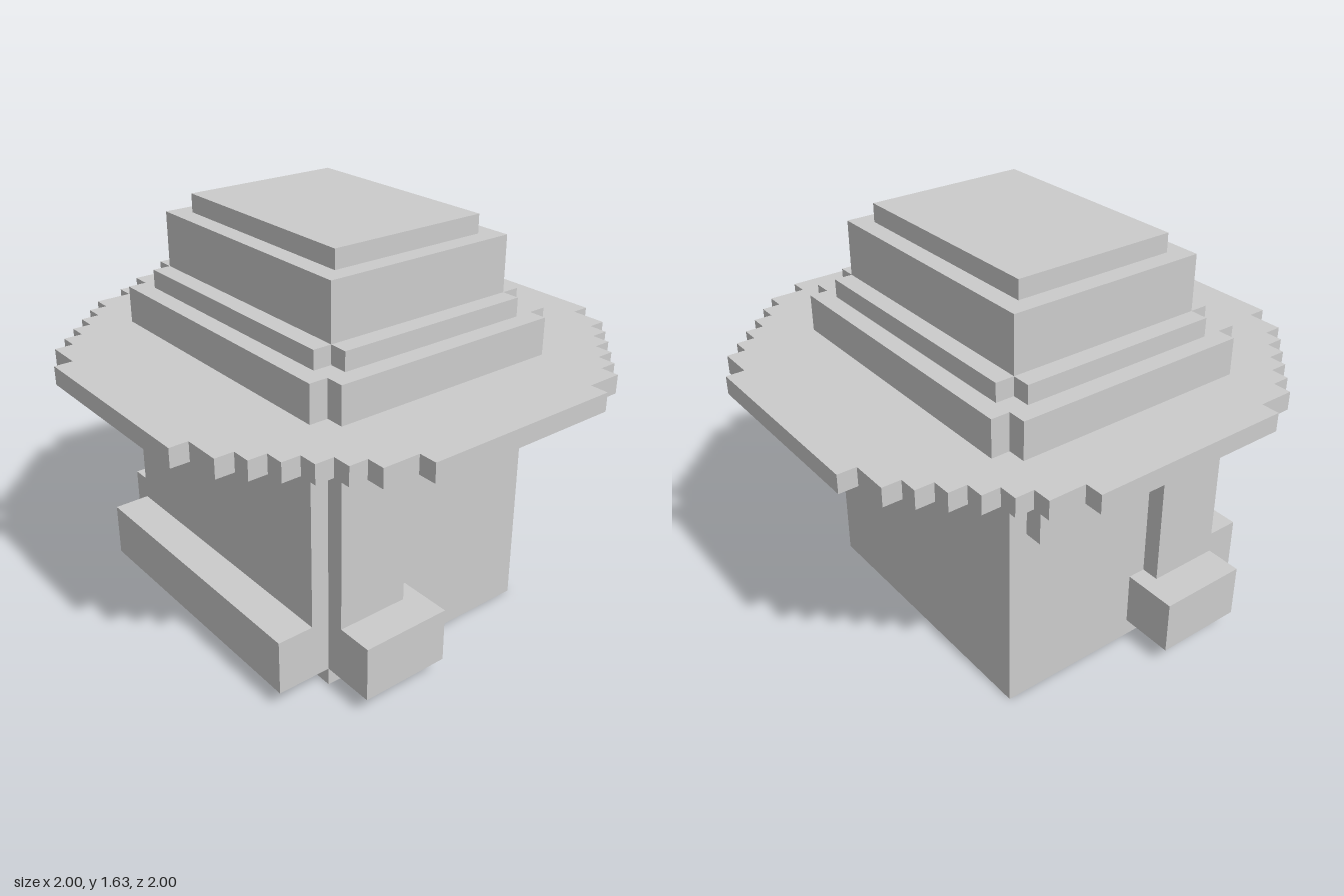
import * as THREE from 'three';

const U = 2 / 27; // one block
const HEAD_Z = -0.5; // head and crown sit half a block back

const material = new THREE.MeshStandardMaterial({ color: 0xcccccc, flatShading: true });

function addMesh(parent, name, geometry) {
  const mesh = new THREE.Mesh(geometry, material);
  mesh.name = name;
  parent.add(mesh);
  return mesh;
}

// Box from its limits in blocks
function block(parent, name, [x0, x1], [y0, y1], [z0, z1]) {
  const mesh = addMesh(parent, name, new THREE.BoxGeometry((x1 - x0) * U, (y1 - y0) * U, (z1 - z0) * U));
  mesh.position.set((x0 + x1) / 2 * U, (y0 + y1) / 2 * U, (z0 + z1) / 2 * U);
}

// Flat slab with a stair-stepped outline; steps are [halfX, halfZ] corners of one quarter
function slab(parent, name, y0, y1, centreZ, steps) {
  const quarter = [];
  steps.forEach(([x, z], i) => {
    quarter.push([x, z]);
    if (i < steps.length - 1) quarter.push([x, steps[i + 1][1]]);
  });
  const back = [...quarter].reverse();
  const outline = [
    ...quarter,
    ...back.map(([x, z]) => [x, -z]),
    ...quarter.map(([x, z]) => [-x, -z]),
    ...back.map(([x, z]) => [-x, z]),
  ];
  const shape = new THREE.Shape(outline.map(([x, z]) => new THREE.Vector2(x * U, z * U)));
  const geometry = new THREE.ExtrudeGeometry(shape, { depth: (y1 - y0) * U, bevelEnabled: false });
  geometry.rotateX(-Math.PI / 2);
  addMesh(parent, name, geometry).position.set(0, y0 * U, centreZ * U);
}

export function createModel() {
  const model = new THREE.Group();
  model.name = 'hattedHead';

  block(model, 'head', [-6.5, 6.5], [0, 14], [-8.5, 7.5]);

  // Hair swept to the right, the same on front and back
  const hair = new THREE.Group();
  hair.name = 'hair';
  model.add(hair);
  for (const [side, s] of [['front', 1], ['back', -1]]) {
    const depth = (d) => [HEAD_Z + s * 8, HEAD_Z + s * (8 + d)].sort((a, b) => a - b);
    block(hair, side + 'Lock', [-6.5, -2.5], [4, 14], depth(1));
    block(hair, side + 'Fringe', [-2.5, 5.5], [10, 14], depth(1));
    block(hair, side + 'Curl', [-6.5, -1.5], [1, 4], depth(3));
  }
  block(hair, 'sideHair', [-7.5, -6.5], [4, 14], [-8.5, 7.5]);
  block(hair, 'sideCurl', [-9.5, -6.5], [1, 4], [-8.5, 7.5]);

  // Wide round brim and stacked crown
  const hat = new THREE.Group();
  hat.name = 'hat';
  model.add(hat);
  slab(hat, 'brim', 14, 15, 0, [
    [5.5, 13.5], [7.5, 12.5], [8.5, 11.5], [9.5, 10.5],
    [10.5, 9.5], [11.5, 8.5], [12.5, 7.5], [13.5, 5.5],
  ]);
  slab(hat, 'hatBand', 15, 17, HEAD_Z, [[6.5, 9], [7.5, 8]]);
  slab(hat, 'crownBase', 17, 18, HEAD_Z, [[5.5, 8], [6.5, 7]]);
  slab(hat, 'crown', 18, 21, HEAD_Z, [[5.5, 7]]);
  slab(hat, 'crownTop', 21, 22, HEAD_Z, [[4.5, 6]]);

  return model;
}
